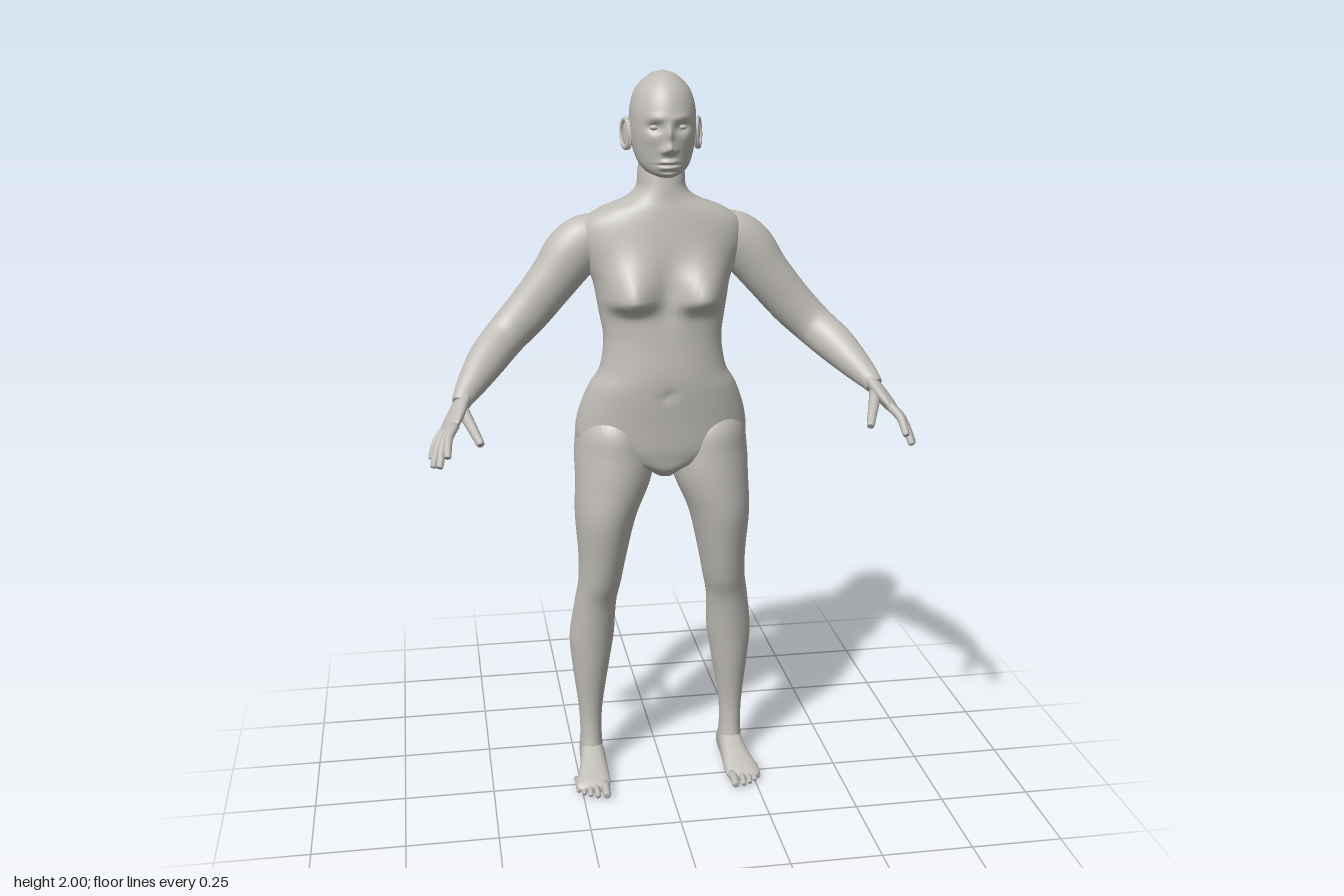
import * as THREE from 'three';

const X = new THREE.Vector3(1, 0, 0), Y = new THREE.Vector3(0, 1, 0), Z = new THREE.Vector3(0, 0, 1);
const skin = new THREE.MeshStandardMaterial({ color: 0xbfbcb6 });
skin.name = 'clay grey';

// Smooth skin through sections [x, y, z, radiusU, radiusV]; the frame is fixed (u, v) or follows the path (ref).
function loft(sections, { n = 28, rings = 40, u, v, ref = Z, power = 1, deform } = {}) {
  const path = new THREE.CatmullRomCurve3(sections.map(s => new THREE.Vector3(s[0], s[1], s[2])), false, 'catmullrom', 0.5);
  const radii = new THREE.CatmullRomCurve3(sections.map(s => new THREE.Vector3(s[3], s[4], 0)), false, 'catmullrom', 0.5);
  const pos = [], index = [], p = new THREE.Vector3();
  const put = q => { if (deform) deform(q); pos.push(q.x, q.y, q.z); };
  const round = c => Math.sign(c) * Math.abs(c) ** power;
  for (let i = 0; i <= rings; i++) {
    const c = path.getPoint(i / rings), r = radii.getPoint(i / rings);
    let a = u, b = v;
    if (!u) {
      const t = path.getTangent(i / rings);
      a = ref.clone().cross(t).normalize();
      b = t.clone().cross(a);
    }
    for (let j = 0; j < n; j++) {
      const w = j / n * Math.PI * 2;
      put(p.copy(c).addScaledVector(a, round(Math.cos(w)) * r.x).addScaledVector(b, round(Math.sin(w)) * r.y));
      if (i < rings) {
        const k = i * n + j, l = i * n + (j + 1) % n;
        index.push(k, l, l + n, k, l + n, k + n);
      }
    }
  }
  const first = (rings + 1) * n, last = rings * n;
  put(path.getPoint(0));
  put(path.getPoint(1));
  for (let j = 0; j < n; j++) {
    const k = (j + 1) % n;
    index.push(first, k, j, first + 1, last + j, last + k);
  }
  const g = new THREE.BufferGeometry();
  g.setAttribute('position', new THREE.Float32BufferAttribute(pos, 3));
  g.setIndex(index);
  g.computeVertexNormals();
  return g;
}

// Upright part from rows [y, centreX, halfWidth, frontZ, backZ], listed from the top down.
const upright = (rows, opts) =>
  loft(rows.map(([y, x, w, f, b]) => [x, y, (f + b) / 2, w, (f - b) / 2]), { u: X, v: Z, ...opts });

// Finger or toe with a rounded tip.
function digit(points, r, ref = Z) {
  const s = points.map((q, i) => [...q, r * (1 - 0.12 * i), r * (1 - 0.12 * i)]);
  const [a, b] = points.slice(-2), tip = b.map((c, i) => c + (c - a[i]) * 0.1);
  s.push([...tip, r * 0.3, r * 0.3]);
  return loft(s, { n: 10, rings: 14, ref });
}

const bell = (d, s) => Math.exp(-((d / s) ** 2));
const clamp01 = t => Math.min(1, Math.max(0, t));

function mirrored(g) {
  const m = g.clone().scale(-1, 1, 1), id = m.index.array;
  for (let i = 0; i < id.length; i += 3) [id[i], id[i + 1]] = [id[i + 1], id[i]];
  m.computeVertexNormals();
  return m;
}

// Chest, spine and seat relief
function shapeTorso(p) {
  const x = Math.abs(p.x), front = clamp01((p.z + 0.09) / 0.07), back = clamp01((-0.11 - p.z) / 0.06);
  const dy = p.y - 1.415;
  p.z += front * 0.062 * bell(x - 0.1, 0.058) * bell(dy, dy > 0 ? 0.085 : 0.027);
  p.z -= front * 0.012 * bell(x, 0.03) * bell(p.y - 1.43, 0.07);
  p.z -= front * 0.008 * bell(x, 0.012) * bell(p.y - 1.16, 0.014);
  p.z += back * 0.016 * bell(x, 0.028) * bell(p.y - 1.38, 0.2);
  p.z -= back * 0.026 * bell(x - 0.1, 0.07) * bell(p.y - 1.04, 0.075);
  p.z += back * 0.05 * bell(x, 0.02) * bell(p.y - 1.01, 0.09);
}

// Brow, sockets, nose, lips and chin
function shapeFace(p) {
  const x = Math.abs(p.x), y = p.y, front = clamp01((p.z + 0.03) / 0.05);
  let d = 0.005 * bell(x - 0.03, 0.025) * bell(y - 1.888, 0.011);
  d -= 0.013 * bell(x - 0.035, 0.017) * bell(y - 1.864, 0.013);
  d += 0.012 * bell(x, 0.009) * bell(y - 1.845, 0.028);
  d += 0.02 * bell(x, 0.012) * bell(y - 1.812, 0.013);
  d += 0.009 * bell(x - 0.014, 0.007) * bell(y - 1.806, 0.008);
  d += 0.004 * bell(x - 0.05, 0.018) * bell(y - 1.835, 0.02);
  d += 0.009 * bell(x, 0.021) * (bell(y - 1.778, 0.006) + bell(y - 1.763, 0.006));
  d -= 0.005 * bell(x, 0.024) * bell(y - 1.7705, 0.003);
  d -= 0.005 * bell(x, 0.022) * bell(y - 1.753, 0.006);
  p.z += d * front;
}

export function createModel() {
  const model = new THREE.Group();
  model.name = 'figure';
  const add = (name, g, parent = model) => {
    const m = new THREE.Mesh(g, skin);
    m.name = name;
    parent.add(m);
  };
  const pair = (name, g) => {
    add('left' + name, g);
    add('right' + name, mirrored(g));
  };

  // Neck and trunk in one skin
  add('torso', upright([
    [1.79, 0, 0.055, -0.04, -0.145], [1.74, 0, 0.062, -0.028, -0.153], [1.70, 0, 0.067, -0.02, -0.16],
    [1.672, 0, 0.098, -0.015, -0.168], [1.645, 0, 0.165, -0.008, -0.18], [1.61, 0, 0.212, 0, -0.195],
    [1.56, 0, 0.222, 0.01, -0.207], [1.50, 0, 0.203, 0.02, -0.212], [1.45, 0, 0.184, 0.028, -0.208],
    [1.37, 0, 0.17, 0.033, -0.19], [1.30, 0, 0.16, 0.037, -0.172], [1.22, 0, 0.172, 0.045, -0.178],
    [1.165, 0, 0.203, 0.044, -0.195], [1.08, 0, 0.232, 0.037, -0.225], [1.01, 0, 0.232, 0.032, -0.228],
    [0.975, 0, 0.17, 0.026, -0.2], [0.945, 0, 0.07, 0.018, -0.15], [0.922, 0, 0.028, -0.005, -0.1],
  ], { n: 72, rings: 120, power: 0.93, deform: shapeTorso }));

  // Head
  add('head', upright([
    [2.0, 0, 0.004, -0.06, -0.068], [1.988, 0, 0.036, -0.015, -0.115], [1.955, 0, 0.069, 0.024, -0.16],
    [1.91, 0, 0.084, 0.046, -0.179], [1.86, 0, 0.086, 0.051, -0.179], [1.82, 0, 0.082, 0.048, -0.168],
    [1.79, 0, 0.075, 0.045, -0.148], [1.765, 0, 0.064, 0.042, -0.12], [1.747, 0, 0.047, 0.038, -0.09],
    [1.736, 0, 0.022, 0.022, -0.05],
  ], { n: 96, rings: 130, deform: shapeFace }));
  const ball = (r, sx, sy, sz) => new THREE.SphereGeometry(r, 20, 14).scale(sx, sy, sz);
  pair('Eye', ball(0.012, 1.15, 0.6, 0.7).translate(0.035, 1.864, 0.028));
  pair('Ear', ball(0.04, 0.22, 1, 0.6).rotateY(-0.35).rotateX(-0.15).translate(0.09, 1.838, -0.07));
  pair('EarRim', new THREE.TorusGeometry(0.03, 0.006, 8, 24).scale(0.68, 1.2, 1)
    .rotateY(Math.PI / 2 - 0.4).rotateX(-0.15).translate(0.096, 1.84, -0.073));

  // Legs
  pair('Leg', upright([
    [1.14, 0.13, 0.05, -0.04, -0.15], [1.06, 0.13, 0.098, 0.022, -0.232], [0.98, 0.129, 0.112, 0.034, -0.234],
    [0.90, 0.138, 0.104, 0.04, -0.2], [0.80, 0.16, 0.085, 0.038, -0.184], [0.68, 0.17, 0.067, 0.015, -0.17],
    [0.60, 0.178, 0.06, -0.004, -0.16], [0.53, 0.19, 0.059, -0.028, -0.157], [0.42, 0.2, 0.063, -0.045, -0.178],
    [0.33, 0.204, 0.053, -0.055, -0.173], [0.20, 0.207, 0.035, -0.07, -0.148], [0.12, 0.207, 0.031, -0.068, -0.146],
    [0.06, 0.207, 0.034, -0.058, -0.162], [0.02, 0.207, 0.032, -0.06, -0.162],
  ], { n: 40, rings: 80 }));

  // Feet and toes
  pair('Foot', loft([
    [0.206, 0.035, -0.172, 0.012, 0.015], [0.206, 0.036, -0.155, 0.03, 0.035], [0.206, 0.046, -0.09, 0.035, 0.045],
    [0.209, 0.036, -0.035, 0.039, 0.035], [0.215, 0.024, 0.015, 0.047, 0.023], [0.219, 0.017, 0.045, 0.049, 0.016],
    [0.219, 0.013, 0.062, 0.036, 0.008],
  ], { n: 32, rings: 36, u: X, v: Y, power: 0.85 }));
  const toes = [[0.186, 0.104, 0.0135], [0.211, 0.097, 0.0095], [0.23, 0.087, 0.009], [0.247, 0.074, 0.0085], [0.261, 0.057, 0.0085]];
  toes.forEach(([x, tip, r], i) => pair('Toe' + (i + 1),
    digit([[x, 0.017, tip - 0.06], [x, 0.017, tip - 0.03], [x, r, tip - 0.004]], r, Y)));

  // Arms
  pair('Arm', loft([
    [0.12, 1.58, -0.105, 0.03, 0.03], [0.18, 1.568, -0.106, 0.066, 0.056], [0.235, 1.528, -0.106, 0.075, 0.062],
    [0.29, 1.458, -0.1, 0.066, 0.056], [0.36, 1.375, -0.094, 0.061, 0.05], [0.42, 1.315, -0.08, 0.056, 0.049],
    [0.472, 1.268, -0.025, 0.052, 0.045], [0.513, 1.225, 0.03, 0.041, 0.036], [0.54, 1.195, 0.07, 0.03, 0.026],
    [0.55, 1.18, 0.088, 0.024, 0.022],
  ], { n: 32, rings: 64 }));

  // Hands: palm, four fingers and thumb
  const spread = new THREE.Vector3(0.36, -0.27, -0.89);
  pair('Palm', loft([
    [0.535, 1.2, 0.062, 0.016, 0.022], [0.549, 1.181, 0.088, 0.018, 0.029], [0.566, 1.157, 0.118, 0.018, 0.039],
    [0.582, 1.135, 0.148, 0.014, 0.041], [0.588, 1.126, 0.16, 0.008, 0.033],
  ], { n: 24, rings: 24, ref: spread }));
  const tips = [[0.592, 1.09, 0.248], [0.612, 1.062, 0.235], [0.627, 1.052, 0.197], [0.632, 1.06, 0.155]];
  tips.forEach((tip, i) => {
    const k = new THREE.Vector3(0.58, 1.138, 0.146).addScaledVector(spread, -0.03 + i * 0.02).toArray();
    const mid = k.map((c, j) => (c + tip[j]) / 2 + [0.006, 0.006, 0.002][j]);
    pair('Finger' + (i + 1), digit([k, mid, tip], i === 3 ? 0.0105 : 0.012, spread));
  });
  pair('Thumb', digit([[0.55, 1.175, 0.1], [0.532, 1.145, 0.15], [0.518, 1.122, 0.183], [0.508, 1.105, 0.208]], 0.016, Y));

  return model;
}
